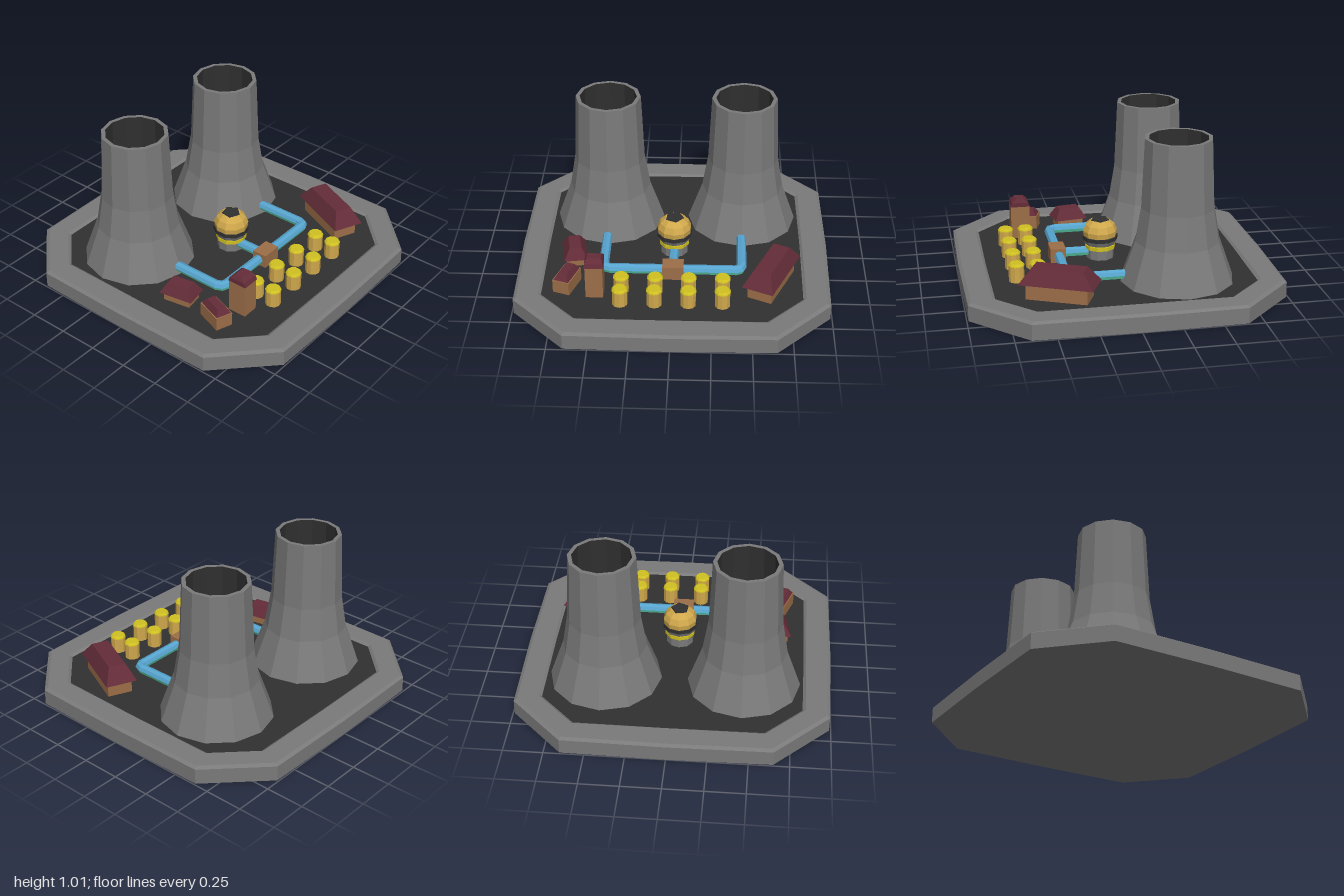
import * as THREE from 'three';

const mat = (name, color, side = THREE.FrontSide) =>
  new THREE.MeshStandardMaterial({ name, color, side, flatShading: true });

// Skin a grid of rings of [x, y, z] points with flat quads
function loft(rings) {
  const pos = [];
  for (let i = 0; i < rings.length - 1; i++) {
    for (let j = 0; j < rings[i].length - 1; j++) {
      const a = rings[i][j], b = rings[i][j + 1], c = rings[i + 1][j + 1], d = rings[i + 1][j];
      pos.push(...a, ...b, ...c, ...a, ...c, ...d);
    }
  }
  const g = new THREE.BufferGeometry();
  g.setAttribute('position', new THREE.Float32BufferAttribute(pos, 3));
  g.computeVertexNormals();
  return g;
}

// Closed octagon with slightly bowed sides: s = short half edge, l = long half extent, m = bowed extent
function octagon(s, l, m, y) {
  const ring = [];
  for (let k = 0; k < 4; k++) {
    const c = Math.round(Math.cos(k * Math.PI / 2)), n = Math.round(Math.sin(k * Math.PI / 2));
    for (const [x, z] of [[-s, l], [0, m], [s, l]]) ring.push([x * c + z * n, y, z * c - x * n]);
  }
  ring.push(ring[0]);
  return ring;
}

// Box standing on y0 whose top is tw x td
function frustum(w, d, tw, td, y0, y1) {
  const g = new THREE.BoxGeometry(1, y1 - y0, 1);
  const p = g.attributes.position;
  for (let i = 0; i < p.count; i++) {
    const top = p.getY(i) > 0;
    p.setX(i, p.getX(i) * (top ? tw : w));
    p.setZ(i, p.getZ(i) * (top ? td : d));
  }
  g.translate(0, (y0 + y1) / 2, 0);
  return g;
}

const lathe = (pts, sides) =>
  new THREE.LatheGeometry(pts.map(([r, y]) => new THREE.Vector2(r, y)), sides);

// Sweep an arc of a round section along a flat path with mitred corners
function pipeArc(path, r, y, from, to) {
  return loft(path.map(([x, z], i) => {
    const dir = (a, b) => new THREE.Vector2(b[0] - a[0], b[1] - a[1]).normalize();
    const d1 = i > 0 ? dir(path[i - 1], path[i]) : dir(path[0], path[1]);
    const d2 = i < path.length - 1 ? dir(path[i], path[i + 1]) : d1;
    const t = d1.clone().add(d2).normalize();
    const k = r / t.dot(d1);
    const ring = [];
    for (let j = 0; j <= 4; j++) {
      const a = from + (to - from) * j / 4;
      ring.push([x - t.y * k * Math.cos(a), y + r * Math.sin(a), z + t.x * k * Math.cos(a)]);
    }
    return ring;
  }));
}

export function createModel() {
  const root = new THREE.Group();
  const grey = mat('concrete', 0x7a7a7a);
  const dark = mat('asphalt', 0x303030);
  const teal = mat('coolant', 0x5fd3b0, THREE.DoubleSide);
  const blue = mat('pipeBlue', 0x57a5cf, THREE.DoubleSide);
  const gold = mat('gold', 0xd0a84c);
  const yellow = mat('yellow', 0xd0c022);
  const brown = mat('wallBrown', 0x9c6e48);
  const maroon = mat('roofMaroon', 0x632c38);

  const add = (parent, name, geo, material, x = 0, y = 0, z = 0) => {
    const m = new THREE.Mesh(geo, material);
    m.name = name;
    m.position.set(x, y, z);
    parent.add(m);
    return m;
  };
  const group = (name, x, z, turn = 0) => {
    const g = new THREE.Group();
    g.name = name;
    g.position.set(x, 0, z);
    g.rotation.y = turn;
    root.add(g);
    return g;
  };

  // Base slab with bevelled rim and dark yard
  const floor = 0.1;
  add(root, 'baseSlab', loft([
    octagon(0, 0, 0, 0), octagon(0.65, 0.99, 1, 0), octagon(0.65, 0.99, 1, 0.1),
    octagon(0.64, 0.97, 0.98, 0.113), octagon(0.595, 0.84, 0.84, 0.113), octagon(0.59, 0.82, 0.825, floor),
  ]), grey);
  add(root, 'yard', loft([octagon(0.59, 0.82, 0.825, floor), octagon(0, 0, 0, floor)]), dark);

  // Cooling towers
  for (const side of [-1, 1]) {
    const t = group(side < 0 ? 'rightCoolingTower' : 'leftCoolingTower', side * 0.443, -0.335);
    add(t, 'towerShell', lathe([[0.36, floor], [0.268, 0.36], [0.232, 0.575], [0.212, 1.015], [0.186, 1.015]], 12), grey);
    add(t, 'towerLining', lathe([[0.186, 1.015], [0.2, 0.5]], 12), dark);
    add(t, 'coolantPool', new THREE.CircleGeometry(0.2, 12).rotateX(-Math.PI / 2), teal, 0, 0.55, 0);
  }

  // Pipes: blue upper half, teal lower half
  const paths = {
    loopPipe: [[-0.445, -0.04], [-0.445, 0.31], [-0.43, 0.343], [-0.4, 0.355],
      [0.4, 0.355], [0.425, 0.343], [0.438, 0.31], [0.438, -0.04]],
    reactorPipe: [[0, 0.08], [0, 0.34]],
  };
  for (const [name, path] of Object.entries(paths)) {
    add(root, name + 'Top', pipeArc(path, 0.032, 0.144, 0, Math.PI), blue);
    add(root, name + 'Underside', pipeArc(path, 0.032, 0.144, -Math.PI, 0), teal);
  }
  add(root, 'pipeJunction', new THREE.BoxGeometry(0.135, 0.095, 0.1), brown, 0, 0.145, 0.36);

  // Domed reactor
  const reactor = group('reactor', 0, 0.075);
  add(reactor, 'reactorBase', lathe([[0.09, floor], [0.09, 0.165]], 10), grey);
  add(reactor, 'yellowBand', lathe([[0.09, 0.165], [0.1, 0.165], [0.1, 0.19], [0.08, 0.19]], 10), yellow);
  add(reactor, 'greyCollar', lathe([[0.08, 0.19], [0.1, 0.195], [0.112, 0.225]], 10), grey);
  add(reactor, 'darkBand', lathe([[0.08, 0.225], [0.115, 0.225], [0.115, 0.25], [0.09, 0.25]], 10), dark);
  add(reactor, 'dome', lathe([[0.108, 0.248], [0.112, 0.285], [0.095, 0.325], [0.062, 0.354], [0, 0.354]], 10), gold);
  add(reactor, 'domeCap', new THREE.CylinderGeometry(0.06, 0.062, 0.009, 5), dark, 0, 0.356, 0).rotation.y = 0.2;

  // Storage barrels, two rows of four
  for (const x of [-0.32, -0.107, 0.104, 0.316]) {
    for (const z of [0.528, 0.66]) {
      const b = group('barrel', x, z);
      add(b, 'barrelBody', lathe([[0.049, floor], [0.049, 0.207]], 10), gold);
      add(b, 'barrelLid', lathe([[0.052, 0.203], [0.05, 0.21], [0.04, 0.221], [0, 0.221]], 10), yellow);
    }
  }

  // Buildings: walls [w, d, top], roof [w, d, topW, topD, y0, y1]
  const building = (name, x, z, turn, [w, d, top], roofs) => {
    const g = group(name, x, z, turn);
    add(g, 'walls', frustum(w, d, w, d, floor, top), brown);
    for (const r of roofs) add(g, 'roof', frustum(...r), maroon);
  };
  building('mainHall', 0.623, 0.432, -0.42, [0.16, 0.385, 0.2], [[0.205, 0.468, 0.11, 0.32, 0.197, 0.295]]);
  building('workshop', -0.642, 0.19, 0.17, [0.12, 0.18, 0.16], [[0.155, 0.225, 0.075, 0.14, 0.155, 0.228]]);
  building('shed', -0.665, 0.488, -0.34, [0.112, 0.185, 0.19], [[0.1, 0.175, 0.055, 0.125, 0.19, 0.23]]);
  building('watchTower', -0.483, 0.546, 0, [0.11, 0.125, 0.325], [
    [0.116, 0.132, 0.114, 0.11, 0.322, 0.35], [0.114, 0.11, 0.088, 0.055, 0.35, 0.374]]);

  return root;
}
